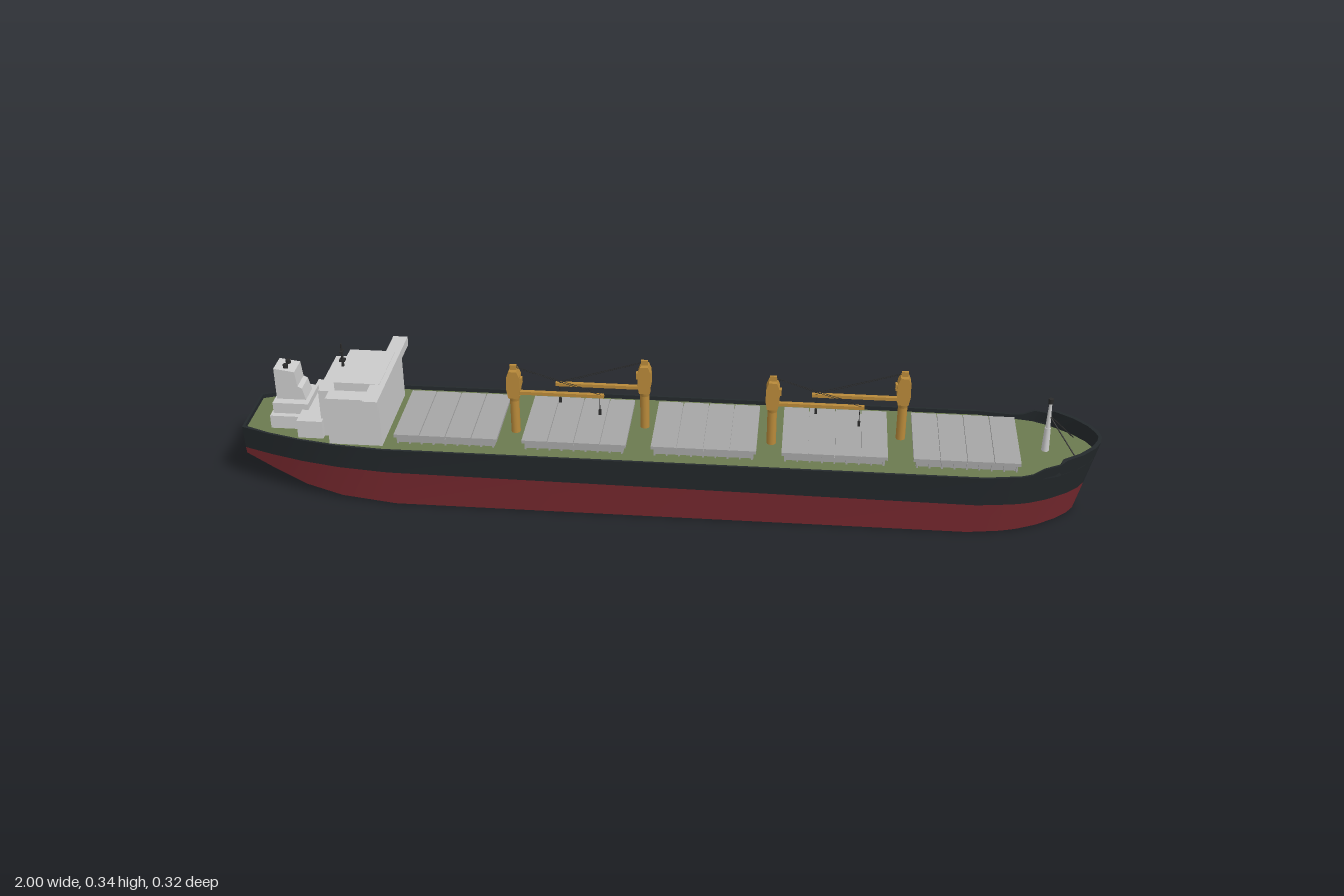
import * as THREE from 'three';
import { toCreasedNormals } from 'three/addons/utils/BufferGeometryUtils.js';

const mat = (color, side = THREE.FrontSide) => new THREE.MeshStandardMaterial({ color, side });
const RED = mat(0x78292f, THREE.DoubleSide), BLACK = mat(0x24292c, THREE.DoubleSide);
const GREEN = mat(0x6b7a4f, THREE.DoubleSide);
const GREY = mat(0xcccccc), HATCH = mat(0xa6a6a6), YELLOW = mat(0xb98a3a), DARK = mat(0x2b2b2b);
const DECK = 0.145;

// Hull stations: bottom x, keel y, bottom half width, top x, rim y, top half width
const STATIONS = [
  [-1.0, 0.078, 0.07, -1.0, 0.155, 0.08],
  [-0.93, 0.052, 0.09, -0.93, 0.155, 0.106],
  [-0.85, 0.024, 0.11, -0.85, 0.155, 0.128],
  [-0.76, 0.008, 0.127, -0.76, 0.155, 0.145],
  [-0.63, 0, 0.139, -0.65, 0.155, 0.155],
  [0, 0, 0.14, 0, 0.155, 0.155],
  [0.7, 0, 0.14, 0.73, 0.155, 0.155],
  [0.77, 0, 0.129, 0.81, 0.156, 0.144],
  [0.79, 0, 0.124, 0.835, 0.16, 0.14],
  [0.815, 0, 0.116, 0.86, 0.174, 0.135],
  [0.85, 0, 0.1, 0.895, 0.177, 0.12],
  [0.865, 0, 0.092, 0.91, 0.187, 0.113],
  [0.905, 0.001, 0.066, 0.95, 0.187, 0.085],
  [0.935, 0.002, 0.04, 0.98, 0.187, 0.053],
  [0.951, 0.003, 0.018, 0.995, 0.187, 0.025],
  [0.955, 0.004, 0, 1.0, 0.187, 0],
];

function add(parent, name, geometry, material, x = 0, y = 0, z = 0) {
  const m = new THREE.Mesh(geometry, material);
  m.name = name;
  m.position.set(x, y, z);
  parent.add(m);
  return m;
}

// Box given by its limits
function block(parent, name, material, x0, x1, y0, y1, z0, z1) {
  return add(parent, name, new THREE.BoxGeometry(x1 - x0, y1 - y0, z1 - z0), material,
    (x0 + x1) / 2, (y0 + y1) / 2, (z0 + z1) / 2);
}

// Thin round bar between two points
function rod(parent, name, material, a, b, r, sides = 6) {
  const p = new THREE.Vector3(...a), q = new THREE.Vector3(...b), d = q.clone().sub(p);
  const m = add(parent, name, new THREE.CylinderGeometry(r, r, d.length(), sides), material);
  m.position.copy(p).add(q).multiplyScalar(0.5);
  m.quaternion.setFromUnitVectors(new THREE.Vector3(0, 1, 0), d.normalize());
  return m;
}

// Surface through rows of equal length
function loft(rows) {
  const n = rows[0].length, index = [];
  for (let i = 0; i < rows.length - 1; i++) for (let j = 0; j < n - 1; j++) {
    const a = i * n + j, b = a + n;
    index.push(a, a + 1, b, a + 1, b + 1, b);
  }
  const g = new THREE.BufferGeometry();
  g.setAttribute('position', new THREE.Float32BufferAttribute(rows.flat(2), 3));
  g.setIndex(index);
  return toCreasedNormals(g, 0.5);
}

// Prism with a side profile in x and y, centred across z
function prism(points, width) {
  const shape = new THREE.Shape(points.map(p => new THREE.Vector2(...p)));
  return new THREE.ExtrudeGeometry(shape, { depth: width, bevelEnabled: false }).translate(0, 0, -width / 2);
}

function hull() {
  const g = new THREE.Group();
  g.name = 'hull';
  const flip = row => row.map(([x, y, z]) => [x, y, -z]).reverse();
  const red = [], left = [], right = [], deck = [];
  for (const [xb, yb, zb, xt, yt, zt] of STATIONS) {
    const w = 0.085 - 0.009 * xb, t = (w - yb) / (yt - yb);
    const water = [xb + (xt - xb) * t, w, zb + (zt - zb) * t];
    const xi = xt > 0.9 ? xt - 0.008 : xt < -0.99 ? xt + 0.006 : xt;
    const zi = Math.max(0, zt - 0.006);
    const side = [[xi, DECK, zi], [xi, yt, zi], [xt, yt, zt], water];
    const low = [water, [xb, yb, zb]];
    red.push([...low, ...flip(low)]);
    left.push(side);
    right.push(flip(side));
    deck.push([[xi, DECK, -zi], [xi, DECK, zi]]);
  }
  add(g, 'lowerHull', loft(red), RED);
  add(g, 'leftTopside', loft(left), BLACK);
  add(g, 'rightTopside', loft(right), BLACK);
  add(g, 'deck', loft(deck), GREEN);
  // Flat stern
  const [p, q, , r] = red[0];
  add(g, 'lowerTransom', loft([[p, r], [q, red[0][2]]]), RED);
  const [inLow, inTop, outTop, water] = left[0];
  const across = v => [v, [v[0], v[1], -v[2]]];
  add(g, 'upperTransom', loft([inLow, inTop, outTop, water].map(across)), BLACK);
  return g;
}

function hatch(x) {
  const g = new THREE.Group();
  g.name = 'cargoHatch';
  g.position.x = x;
  block(g, 'coaming', HATCH, -0.115, 0.115, DECK, 0.162, -0.098, 0.098);
  for (let i = 0; i < 4; i++) {
    const x0 = -0.121 + i * 0.061;
    block(g, 'hatchCover', HATCH, x0, x0 + 0.059, 0.16, 0.168, -0.105, 0.105);
  }
  for (const s of [-1, 1]) for (let i = 0; i < 9; i++)
    block(g, 'coamingStay', HATCH, -0.114 + i * 0.028, -0.11 + i * 0.028, DECK, 0.161, s * 0.101 - 0.004, s * 0.101 + 0.004);
  return g;
}

// Crane with its jib along local +x
function crane(x, z, dir) {
  const g = new THREE.Group();
  g.name = 'deckCrane';
  g.position.set(x, 0, z);
  if (dir < 0) g.rotation.y = Math.PI;
  add(g, 'pedestal', new THREE.CylinderGeometry(0.011, 0.011, 0.1, 12), YELLOW, 0, 0.19);
  add(g, 'slewRing', new THREE.CylinderGeometry(0.014, 0.011, 0.012, 12), YELLOW, 0, 0.236);
  const head = [[-0.012, 0.24], [0.012, 0.24], [0.016, 0.262], [0.015, 0.295], [0.009, 0.31], [-0.009, 0.31], [-0.015, 0.295], [-0.016, 0.262]];
  add(g, 'craneHouse', prism(head, 0.029), YELLOW);
  block(g, 'sheaveBracket', YELLOW, -0.008, 0.008, 0.31, 0.322, -0.003, 0.003);
  block(g, 'cab', YELLOW, 0.01, 0.02, 0.274, 0.29, -0.006, 0.006);
  block(g, 'jib', YELLOW, 0.01, 0.21, 0.246, 0.254, -0.005, 0.005);
  for (const s of [-1, 1]) rod(g, 'toppingWire', DARK, [0, 0.318, s * 0.002], [0.205, 0.253, s * 0.004], 0.0007, 4);
  rod(g, 'hoistWire', DARK, [0.2, 0.248, 0], [0.2, 0.212, 0], 0.0008, 4);
  block(g, 'hookBlock', DARK, 0.197, 0.203, 0.2, 0.213, -0.002, 0.002);
  return g;
}

function superstructure() {
  const g = new THREE.Group();
  g.name = 'superstructure';
  block(g, 'accommodation', GREY, -0.78, -0.655, DECK, 0.265, -0.12, 0.12);
  block(g, 'accommodationRear', GREY, -0.805, -0.78, DECK, 0.265, -0.085, 0.085);
  block(g, 'bridgeWings', GREY, -0.682, -0.647, 0.263, 0.285, -0.16, 0.16);
  block(g, 'bridge', GREY, -0.767, -0.66, 0.265, 0.286, -0.08, 0.08);
  block(g, 'lowerHouse', GREY, -0.86, -0.8, DECK, 0.19, -0.1, 0.1);
  // Engine casing and funnel
  block(g, 'casingBase', GREY, -0.935, -0.835, DECK, 0.178, -0.062, 0.062);
  block(g, 'casing', GREY, -0.93, -0.845, 0.178, 0.205, -0.048, 0.048);
  add(g, 'funnel', prism([[-0.925, 0.205], [-0.855, 0.205], [-0.862, 0.235], [-0.872, 0.24], [-0.876, 0.278], [-0.925, 0.285]], 0.054), GREY);
  for (const z of [-0.012, 0.012]) add(g, 'exhaustPipe', new THREE.CylinderGeometry(0.006, 0.006, 0.02, 10), DARK, -0.9, 0.28, z);
  // Radar mast
  add(g, 'radarMast', new THREE.CylinderGeometry(0.002, 0.004, 0.08, 8), DARK, -0.765, 0.305);
  block(g, 'radarScanner', DARK, -0.769, -0.761, 0.323, 0.327, -0.008, 0.008);
  block(g, 'mastPlatform', DARK, -0.772, -0.758, 0.3, 0.304, -0.007, 0.007);
  return g;
}

function foremast() {
  const g = new THREE.Group();
  g.name = 'foremast';
  add(g, 'mastFoot', new THREE.CylinderGeometry(0.007, 0.009, 0.06, 10), GREY, 0.875, 0.175);
  add(g, 'mastPole', new THREE.CylinderGeometry(0.003, 0.006, 0.08, 10), GREY, 0.875, 0.24);
  add(g, 'mastLamp', new THREE.CylinderGeometry(0.006, 0.006, 0.012, 8), DARK, 0.875, 0.275);
  for (const s of [-1, 1]) rod(g, 'mastStay', DARK, [0.875, 0.238, 0], [0.945, 0.15, s * 0.055], 0.0015);
  return g;
}

export function createModel() {
  const model = new THREE.Group();
  model.name = 'bulkCarrier';
  model.add(hull(), superstructure(), foremast());
  for (let i = 0; i < 5; i++) model.add(hatch(-0.51 + i * 0.3));
  // Cranes stand between the hatches and face each other in pairs
  for (let i = 0; i < 4; i++) {
    const s = i % 2 ? -1 : 1;
    model.add(crane(-0.357 + i * 0.3, s * 0.024, s));
  }
  return model;
}
